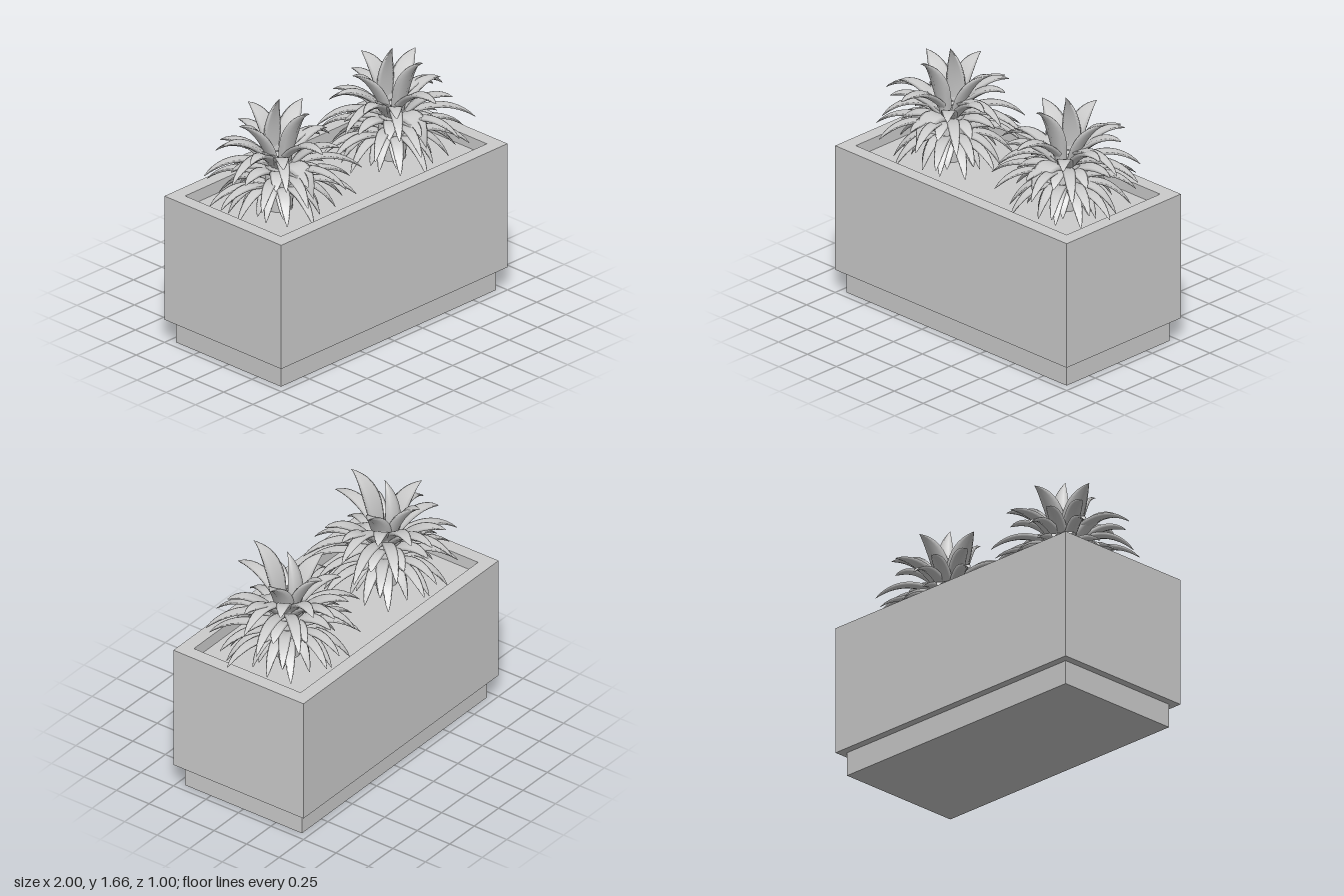
import * as THREE from 'three';
import { mergeGeometries } from 'three/addons/utils/BufferGeometryUtils.js';

const grey = new THREE.MeshStandardMaterial({ color: 0xcccccc });
grey.name = 'light grey';

// One leaf: a cupped, tapering section swept along an arc from the stem to its tip.
// azimuth in degrees (0 = +x, 90 = +z); base, bend and tip are [radius, height];
// a higher taper gives a more pointed leaf.
function leaf(azimuth, base, bend, tip, halfWidth, taper = 0.6) {
  const curve = new THREE.QuadraticBezierCurve(
    new THREE.Vector2(...base), new THREE.Vector2(...bend), new THREE.Vector2(...tip));
  const rows = 12, sides = 8, pos = [], index = [];
  for (let i = 0; i <= rows; i++) {
    const t = i / rows;
    const p = curve.getPoint(t), d = curve.getTangent(t);
    const w = halfWidth * Math.pow(Math.max(Math.sin(Math.PI * (0.25 + 0.75 * t)), 0.01), taper);
    for (let j = 0; j < sides; j++) {
      const a = j / sides * Math.PI * 2;
      const n = w * (0.35 * Math.sin(a) + 0.3 * Math.cos(a) ** 2);
      pos.push(p.x - d.y * n, p.y + d.x * n, w * Math.cos(a));
      if (i < rows) {
        const k = i * sides + j, l = i * sides + (j + 1) % sides;
        index.push(k, k + sides, l, l, k + sides, l + sides);
      }
    }
  }
  const g = new THREE.BufferGeometry();
  g.setAttribute('position', new THREE.Float32BufferAttribute(pos, 3));
  g.setIndex(index);
  g.computeVertexNormals();
  return g.rotateY(-azimuth * Math.PI / 180);
}

function leafGeometry() {
  const leaves = [];
  // Outer tiers, arching over and drooping: azimuth, reach, tip height
  const outer = [
    [-68, 0.47, 1.06], [-105, 0.45, 1.20], [-125, 0.45, 1.08], [-149, 0.48, 1.19],
    [-161, 0.48, 1.03], [172, 0.49, 1.26], [149, 0.47, 1.10], [114, 0.47, 1.12],
    [73, 0.46, 1.14], [56, 0.48, 1.05], [41, 0.51, 1.17], [27, 0.46, 1.06],
    [12, 0.49, 1.02], [-15, 0.51, 1.20], [-33, 0.44, 1.08], [-46, 0.46, 1.20],
    [130, 0.42, 1.22], [-88, 0.41, 1.06], [186, 0.47, 1.04], [0, 0.44, 1.27],
  ];
  for (const [az, r, y] of outer) {
    leaves.push(leaf(az, [0.05, y + 0.02], [r * 0.62, y + 0.16], [r, y], 0.04));
  }
  // Lowest tier draping towards the soil
  for (let i = 0; i < 15; i++) {
    const r = 0.3 + 0.05 * (i * 2 % 3);
    leaves.push(leaf(i * 24 + 8, [0.05, 1.06], [r * 0.6, 1.17], [r, 0.95], 0.04));
  }
  // Short inner leaves covering the stem
  for (let i = 0; i < 9; i++) {
    leaves.push(leaf(i * 40 + 20, [0.05, 1.16], [0.18, 1.26], [0.3, 1.17], 0.05));
    leaves.push(leaf(i * 40 + 10, [0.05, 1.05], [0.15, 1.12], [0.24, 0.95], 0.045));
  }
  // Broad leaf hanging over the front
  leaves.push(leaf(90, [0.04, 1.19], [0.2, 1.3], [0.29, 1.07], 0.08, 0.9));
  // Upper tier, rising and then levelling out
  const upper = [
    [94, 0.40, 1.42], [-81, 0.42, 1.36], [-118, 0.38, 1.33], [-62, 0.38, 1.40],
    [10, 0.36, 1.36], [165, 0.36, 1.36], [48, 0.37, 1.33], [132, 0.37, 1.35],
    [-150, 0.36, 1.38], [-30, 0.35, 1.40],
  ];
  for (const [az, r, y] of upper) {
    leaves.push(leaf(az, [0.04, y - 0.17], [0.2, y + 0.06], [r, y], 0.05));
  }
  // Crown leaves
  for (const az of [-15, 195]) leaves.push(leaf(az, [0.05, 1.23], [0.13, 1.5], [0.29, 1.54], 0.075, 1));
  leaves.push(leaf(-90, [0.05, 1.25], [0.13, 1.52], [0.27, 1.55], 0.07, 0.9));
  leaves.push(leaf(90, [0.06, 1.25], [0.11, 1.59], [0.26, 1.64], 0.075, 1.1));
  leaves.push(leaf(-94, [0.06, 1.23], [0.11, 1.5], [0.0, 1.66], 0.075, 1));
  return mergeGeometries(leaves);
}

function add(parent, name, geometry) {
  const m = new THREE.Mesh(geometry, grey);
  m.name = name;
  parent.add(m);
  return m;
}

export function createModel() {
  const model = new THREE.Group();
  model.name = 'planter';

  // Recessed plinth
  add(model, 'plinth', new THREE.BoxGeometry(1.9, 0.16, 0.9)).position.y = 0.08;

  // Hollow box with a flat rim
  const rect = (Type, x, z) => new Type([[-x, -z], [x, -z], [x, z], [-x, z]].map(p => new THREE.Vector2(...p)));
  const outline = rect(THREE.Shape, 1, 0.5);
  outline.holes.push(rect(THREE.Path, 0.91, 0.41));
  const walls = new THREE.ExtrudeGeometry(outline, { depth: 0.845, bevelEnabled: false });
  walls.rotateX(-Math.PI / 2);
  add(model, 'planterBox', walls).position.y = 0.155;

  // Soil
  add(model, 'soil', new THREE.BoxGeometry(1.82, 0.76, 0.82)).position.y = 0.54;

  // Two matching plants
  const foliage = leafGeometry();
  const core = new THREE.LatheGeometry(
    [[0.08, 0.9], [0.09, 1.05], [0.09, 1.2], [0.06, 1.28], [0, 1.3]].map(p => new THREE.Vector2(...p)), 16);
  for (const x of [-0.5, 0.5]) {
    const plant = new THREE.Group();
    plant.name = x < 0 ? 'rightPlant' : 'leftPlant';
    plant.position.x = x;
    add(plant, 'stem', core);
    add(plant, 'leaves', foliage);
    model.add(plant);
  }
  return model;
}
